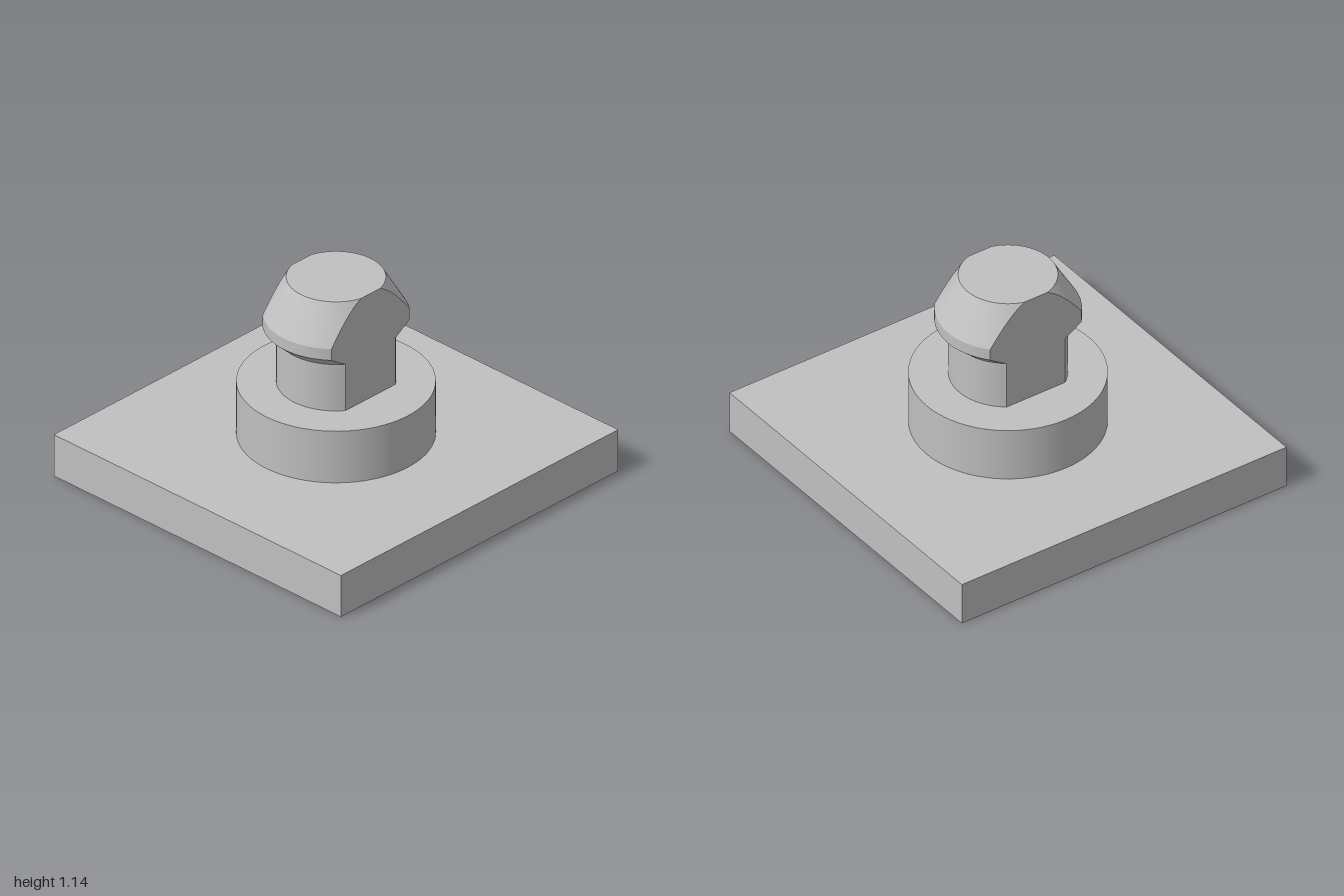
import * as THREE from 'three';

const FLAT = 0.24;                        // distance of the two flats from the axis
const PROFILE = [[0.30, 0.54], [0.30, 0.81], [0.37, 0.875], [0.37, 0.94], [0.25, 1.145]];

// Band of a turned surface between two profile points, trimmed by the flats
function cheekBand([r0, y0], [r1, y1], rows = 12, cols = 24) {
  const pos = [], index = [];
  for (let i = 0; i <= rows; i++) {
    const r = THREE.MathUtils.lerp(r0, r1, i / rows);
    const y = THREE.MathUtils.lerp(y0, y1, i / rows);
    const limit = Math.asin(FLAT / r);
    for (let j = 0; j <= cols; j++) {
      const a = limit * (2 * j / cols - 1);
      pos.push(r * Math.cos(a), y, r * Math.sin(a));
      if (i < rows && j < cols) {
        const p = i * (cols + 1) + j, q = p + cols + 1;
        index.push(p, q, p + 1, q, q + 1, p + 1);
      }
    }
  }
  const geo = new THREE.BufferGeometry();
  geo.setAttribute('position', new THREE.Float32BufferAttribute(pos, 3));
  geo.setIndex(index);
  geo.computeVertexNormals();
  return geo;
}

// Flat face: half-width follows the profile, giving the curved shoulders
function flatFace(rows = 12) {
  const right = [];
  for (let k = 0; k < PROFILE.length - 1; k++) {
    const [r0, y0] = PROFILE[k], [r1, y1] = PROFILE[k + 1];
    for (let i = k ? 1 : 0; i <= rows; i++) {
      const r = THREE.MathUtils.lerp(r0, r1, i / rows);
      right.push(new THREE.Vector2(Math.sqrt(r * r - FLAT * FLAT), THREE.MathUtils.lerp(y0, y1, i / rows)));
    }
  }
  const left = right.map(p => new THREE.Vector2(-p.x, p.y)).reverse();
  return new THREE.ShapeGeometry(new THREE.Shape([...right, ...left])).translate(0, 0, FLAT);
}

// Top of the head: a disc trimmed by the flats
function topCap() {
  const [r, y] = PROFILE[PROFILE.length - 1];
  const a = Math.asin(FLAT / r);
  const shape = new THREE.Shape();
  shape.absarc(0, 0, r, -a, a, false);
  shape.absarc(0, 0, r, Math.PI - a, Math.PI + a, false);
  return new THREE.ShapeGeometry(shape, 32).rotateX(-Math.PI / 2).translate(0, y, 0);
}

export function createModel() {
  const model = new THREE.Group();
  model.name = 'snapStud';
  const grey = new THREE.MeshStandardMaterial({ color: 0xc0c0c0 });
  grey.name = 'lightGrey';

  const add = (parent, name, geometry) => {
    const mesh = new THREE.Mesh(geometry, grey);
    mesh.name = name;
    parent.add(mesh);
    return mesh;
  };

  // Base plate and round collar
  add(model, 'basePlate', new THREE.BoxGeometry(2, 0.24, 2).translate(0, 0.12, 0));
  add(model, 'collar', new THREE.CylinderGeometry(0.5, 0.5, 0.3, 96).translate(0, 0.39, 0));

  // Stud: two mirrored halves of shaft, barb and tapered head
  const stud = new THREE.Group();
  stud.name = 'stud';
  model.add(stud);
  const bands = ['shaft', 'barbUnderside', 'barbRim', 'headTaper'];
  for (const [side, turn] of [['left', 0], ['right', Math.PI]]) {
    bands.forEach((name, k) =>
      add(stud, `${side} ${name}`, cheekBand(PROFILE[k], PROFILE[k + 1]).rotateY(turn)));
    add(stud, turn ? 'backFlat' : 'frontFlat', flatFace().rotateY(turn));
  }
  add(stud, 'headTop', topCap());

  return model;
}
